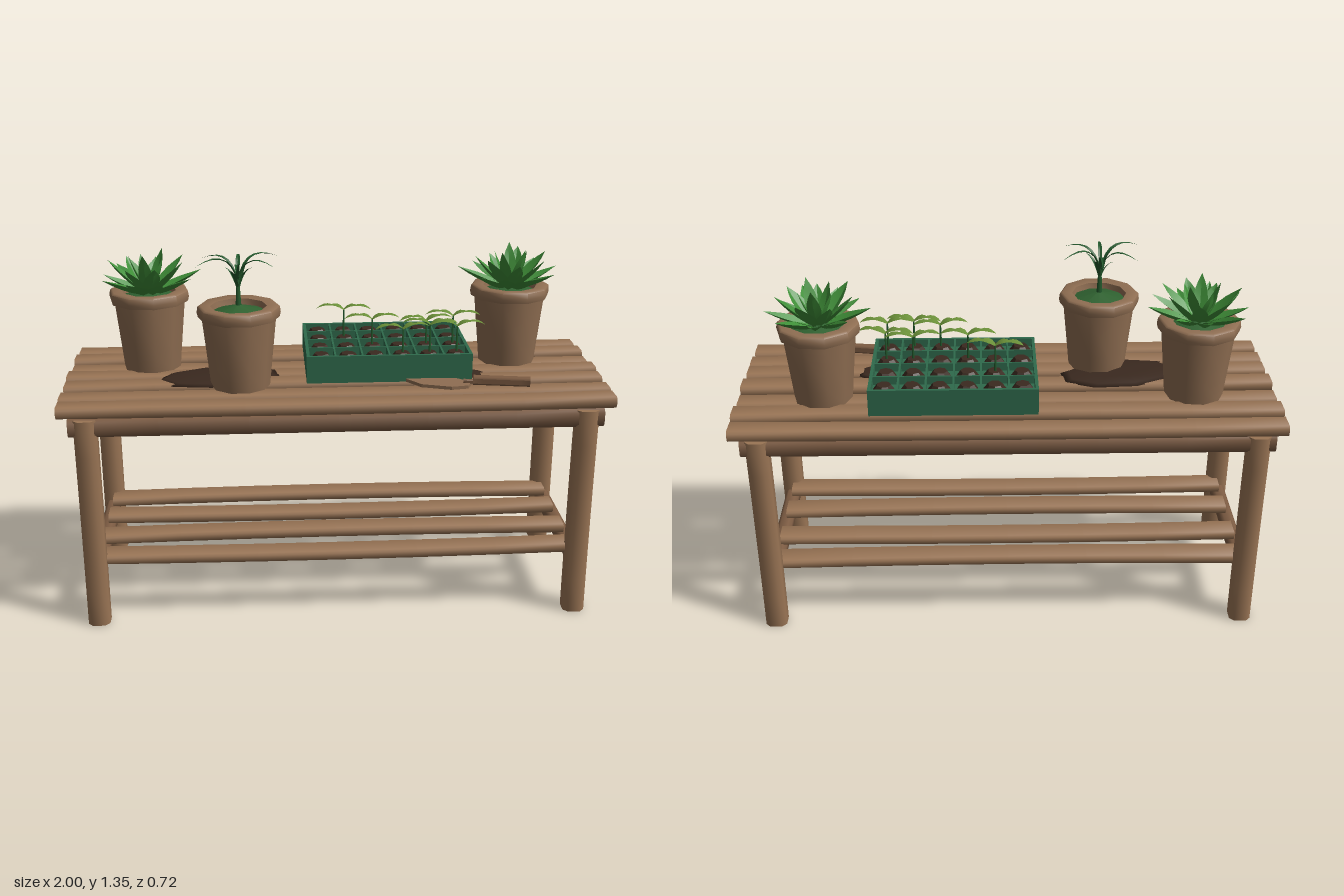
import * as THREE from 'three';
import { toCreasedNormals } from 'three/addons/utils/BufferGeometryUtils.js';

const paint = (name, color, side = THREE.FrontSide) => {
  const m = new THREE.MeshStandardMaterial({ color, side });
  m.name = name;
  return m;
};

export function createModel() {
  const D = THREE.DoubleSide;
  const wood = paint('wood', 0x9a7555);
  const darkWood = paint('dark wood', 0x7d5c43);
  const clay = paint('clay', 0x8f6e52, D);
  const soil = paint('soil', 0x3a291f);
  const trayGreen = paint('tray green', 0x2f6a4c);
  const moss = paint('moss', 0x2f6130);
  const leafGreen = paint('leaf green', 0x3f8f38, D);
  const deepGreen = paint('deep green', 0x23592c, D);
  const sproutGreen = paint('sprout green', 0x6a8f38, D);

  const root = new THREE.Group();
  root.name = 'pottingBench';
  const add = (name, geo, mat, x = 0, y = 0, z = 0, parent = root) => {
    const m = new THREE.Mesh(geo, mat);
    m.name = name;
    m.position.set(x, y, z);
    parent.add(m);
    return m;
  };
  const group = (name, x, y, z) => {
    const g = new THREE.Group();
    g.name = name;
    g.position.set(x, y, z);
    root.add(g);
    return g;
  };

  // Worn timber along z: chamfered section w x h, with a slight bow
  const beam = (len, w, h, bow = 0) => {
    const a = w / 2, b = h / 2, c = Math.min(w, h) * 0.22;
    const s = new THREE.Shape([
      [-a + c, -b], [a - c, -b], [a, -b + c], [a, b - c],
      [a - c, b], [-a + c, b], [-a, b - c], [-a, -b + c],
    ].map(p => new THREE.Vector2(...p)));
    const g = new THREE.ExtrudeGeometry(s, { depth: len, steps: 6, bevelEnabled: false });
    g.translate(0, 0, -len / 2);
    const p = g.attributes.position;
    for (let i = 0; i < p.count; i++) {
      const t = p.getZ(i) / len * 2;
      p.setY(i, p.getY(i) + bow * (1 - t * t));
    }
    return toCreasedNormals(g, 0.85);
  };
  const beamX = (...a) => beam(...a).rotateY(Math.PI / 2);

  // Bench frame
  for (const sx of [-1, 1]) {
    for (const sz of [-1, 1]) {
      add('leg', beam(0.815, 0.08, 0.08, sz * 0.005).rotateX(-Math.PI / 2), wood, sx * 0.9, 0.4075, sz * 0.315);
    }
    add('sideRail', beam(0.56, 0.055, 0.055), darkWood, sx * 0.9, 0.782, 0);
    add('lowerSideRail', beam(0.56, 0.055, 0.055), darkWood, sx * 0.9, 0.202, 0);
  }
  for (const sz of [-1, 1]) add('longRail', beamX(1.92, 0.055, 0.068), darkWood, 0, 0.784, sz * 0.315);

  // Table top and lower shelf slats
  const topY = [0.849, 0.846, 0.855, 0.857, 0.844, 0.854, 0.848];
  [0.317, 0.215, 0.112, 0.005, -0.106, -0.212, -0.32].forEach((z, i) =>
    add('topSlat', beamX(1.99 + 0.01 * (i % 2), 0.085, 0.042, 0.004 * (i % 3 - 1)), wood, 0, topY[i], z));
  [0.26, 0.095, -0.09, -0.25].forEach((z, i) =>
    add('shelfSlat', beamX(1.79, 0.092, 0.036, i % 2 ? 0.008 : -0.007), wood, 0, 0.246, z));

  // Folded leaf along a curve of [out, up] points, tapering at both ends
  const leaf = (pts, width, fold, n = 5) => {
    const curve = new THREE.QuadraticBezierCurve(...pts.map(p => new THREE.Vector2(...p)));
    const pos = [], idx = [];
    for (let i = 0; i <= n; i++) {
      const t = i / n, c = curve.getPoint(t);
      const w = width * Math.max(0, Math.sin(Math.PI * (0.15 + 0.85 * t)));
      const f = fold * w / width;
      pos.push(c.x, c.y + f, -w, c.x, c.y, 0, c.x, c.y + f, w);
      if (i < n) for (let k = 0; k < 2; k++) {
        const a = i * 3 + k;
        idx.push(a, a + 1, a + 3, a + 1, a + 4, a + 3);
      }
    }
    const g = new THREE.BufferGeometry();
    g.setAttribute('position', new THREE.Float32BufferAttribute(pos, 3));
    g.setIndex(idx);
    return toCreasedNormals(g, 0.4);
  };
  const ring = (name, count, start, geo, mat, y, parent) => {
    for (let i = 0; i < count; i++) {
      const m = add(name, geo, mat, 0, y, 0, parent);
      m.rotation.y = start + i * Math.PI * 2 / count;
      m.scale.setScalar(1 - 0.07 * ((i * 2) % 3));
    }
  };

  // Clay pots
  const potProfile = [[0, 0], [0.108, 0], [0.116, 0.08], [0.134, 0.255], [0.147, 0.258], [0.151, 0.275],
    [0.148, 0.296], [0.14, 0.302], [0.102, 0.298], [0.096, 0.265]].map(p => new THREE.Vector2(...p));
  const potGeo = toCreasedNormals(new THREE.LatheGeometry(potProfile, 10), 0.8);
  const makePot = (name, x, z, turn) => {
    const g = group(name, x, 0.873, z);
    g.rotation.y = turn;
    add('pot', potGeo, clay, 0, 0, 0, g);
    add('mossFill', new THREE.ConeGeometry(0.102, 0.03, 9), moss, 0, 0.29, 0, g);
    return g;
  };

  // Two succulents
  const outer = leaf([[0.015, 0], [0.1, 0.015], [0.2, 0.085]], 0.033, 0.022);
  const middle = leaf([[0.01, 0], [0.09, 0.05], [0.145, 0.135]], 0.033, 0.022);
  const inner = leaf([[0.005, 0.01], [0.05, 0.07], [0.075, 0.165]], 0.026, 0.016);
  [[-0.69, 0.2], [0.68, 0.9]].forEach(([x, turn]) => {
    const g = makePot('succulentPot', x, -0.1, turn);
    ring('outerLeaf', 9, 0, outer, leafGreen, 0.28, g);
    ring('middleLeaf', 7, 0.3, middle, leafGreen, 0.28, g);
    ring('innerLeaf', 5, 0.6, inner, leafGreen, 0.28, g);
  });

  // Tall drooping plant
  const tall = makePot('tallPlantPot', -0.35, 0.145, 0.3);
  add('stem', new THREE.CylinderGeometry(0.005, 0.011, 0.12, 6), deepGreen, 0, 0.35, 0, tall);
  ring('archingLeaf', 6, 0.2, leaf([[0, 0], [0.03, 0.14], [0.165, 0.08]], 0.009, 0.004, 7), deepGreen, 0.38, tall);
  ring('shortLeaf', 4, 0.7, leaf([[0, 0], [0.02, 0.08], [0.06, 0.095]], 0.009, 0.004), deepGreen, 0.35, tall);

  // Spilled soil
  const spill = (x, z, rx, rz, h, turn) => {
    const m = add('spilledSoil', new THREE.SphereGeometry(1, 9, 3, 0, Math.PI * 2, 0, Math.PI / 2), soil, x, 0.873, z);
    m.scale.set(rx, h, rz);
    m.rotation.y = turn;
  };
  spill(-0.43, 0.06, 0.235, 0.115, 0.018, 0.15);
  spill(0.42, 0.085, 0.15, 0.09, 0.015, 0);

  // Seed tray with 6 x 4 cells
  const tray = group('seedTray', 0.197, 0.878, -0.052);
  const W = 0.61, L = 0.435, H = 0.102;
  add('trayFloor', new THREE.BoxGeometry(W, 0.07, L), trayGreen, 0, 0.035, 0, tray);
  for (let i = 0; i <= 6; i++) {
    const t = i % 6 ? 0.007 : 0.012;
    add('trayWall', new THREE.BoxGeometry(t, H, L), trayGreen, (i / 6 - 0.5) * (W - 0.012), H / 2, 0, tray);
  }
  for (let j = 0; j <= 4; j++) {
    const t = j % 4 ? 0.007 : 0.012;
    add('trayWall', new THREE.BoxGeometry(W, H, t), trayGreen, 0, H / 2, (j / 4 - 0.5) * (L - 0.012), tray);
  }
  const plug = toCreasedNormals(new THREE.CylinderGeometry(0.026, 0.046, 0.028, 7), 0.3);
  for (let i = 0; i < 6; i++) for (let j = 0; j < 4; j++) {
    const m = add('soilPlug', plug, soil, (i - 2.5) * 0.0997, 0.083, (j - 1.5) * 0.106, tray);
    m.rotation.y = i * 1.3 + j * 0.7;
  }

  // Seedlings: a stem with two pairs of diamond leaves spread sideways
  const near = leaf([[0, 0], [0.025, 0.022], [0.06, 0.016]], 0.022, 0.004, 4);
  const far = leaf([[0.045, 0.018], [0.08, 0.02], [0.105, 0.003]], 0.017, 0.003, 4);
  [[0.045, -0.11], [0.145, 0], [0.25, 0.107], [0.35, 0.107], [0.45, 0.107], [0.35, 0], [0.45, 0]].forEach(([x, z], i) => {
    const g = group('seedling', x, 0.96, z);
    const h = 0.118 - 0.008 * (i % 3);
    add('seedlingStem', new THREE.CylinderGeometry(0.003, 0.005, h, 5), deepGreen, 0, h / 2, 0, g);
    for (const a of [0, Math.PI]) {
      for (const geo of [near, far]) {
        add('seedlingLeaf', geo, sproutGreen, 0, h, 0, g).rotation.y = a + 0.12 * (i % 3 - 1);
      }
    }
  });

  // Hand trowel: pointed blade, neck and handle
  const trowel = group('trowel', 0.48, 0.884, 0.225);
  trowel.rotation.y = -0.17;
  const outline = [[-0.23, 0.02], [-0.17, -0.035], [-0.06, -0.052], [0, -0.03], [0.01, 0.01], [-0.04, 0.045], [-0.16, 0.05]];
  const blade = new THREE.ExtrudeGeometry(new THREE.Shape(outline.map(p => new THREE.Vector2(...p))),
    { depth: 0.012, bevelEnabled: false });
  add('trowelBlade', blade.rotateX(-Math.PI / 2), clay, 0, -0.006, 0, trowel);
  add('trowelNeck', beamX(0.06, 0.016, 0.014), darkWood, 0.01, 0.012, 0, trowel);
  add('trowelHandle', beamX(0.205, 0.034, 0.032), darkWood, 0.118, 0.018, 0, trowel);

  return root;
}
